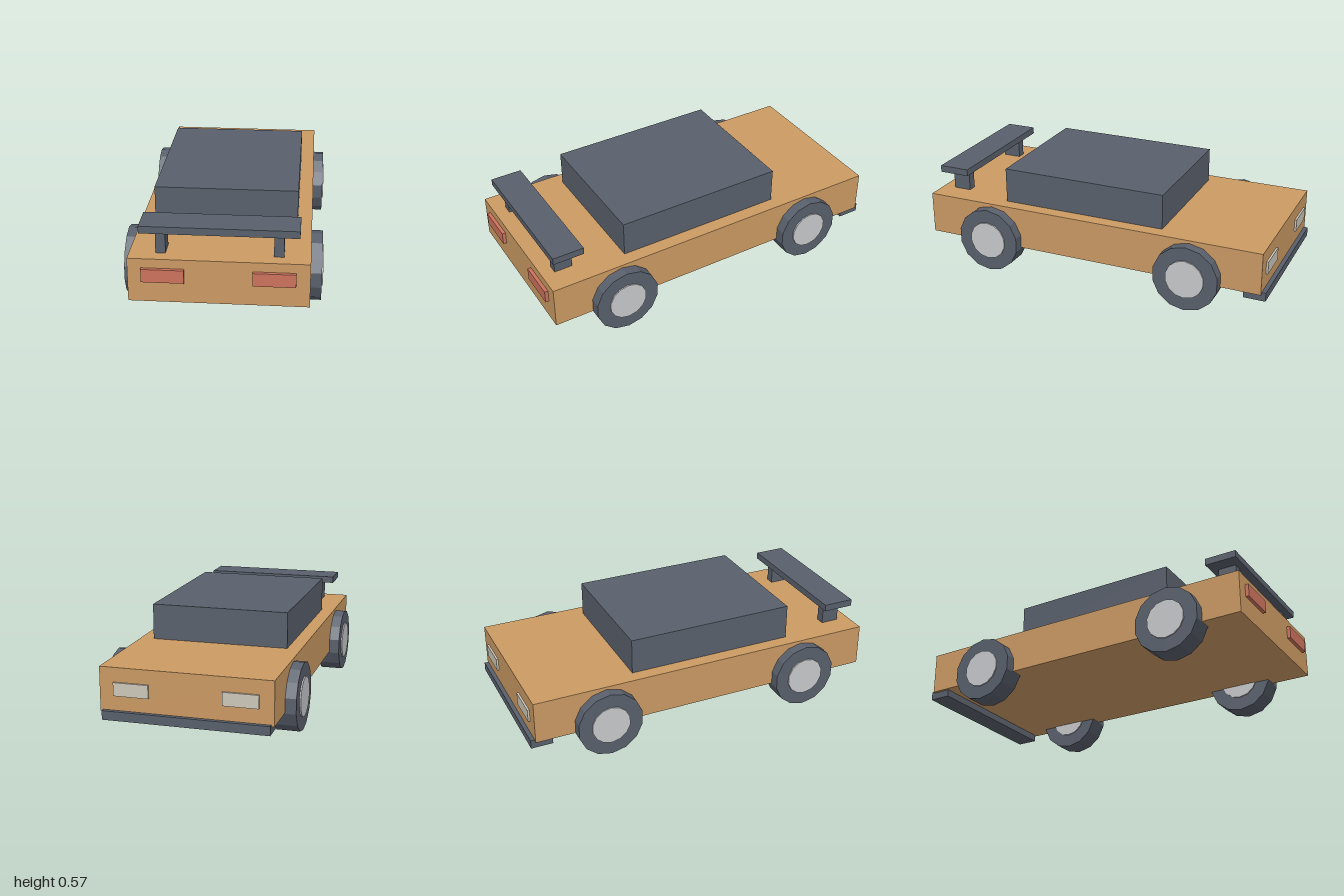
import * as THREE from 'three';

const flat = (name, color) => {
  const m = new THREE.MeshStandardMaterial({ color });
  m.name = name;
  return m;
};

export function createModel() {
  const paint = flat('ochre paint', 0xcb9a63);
  const dark = flat('slate grey', 0x59606c);
  const red = flat('lamp red', 0xcc725c);
  const silver = flat('hub silver', 0xc8c9cc);
  const cream = flat('lamp cream', 0xcdc8ba);

  const car = new THREE.Group();
  car.name = 'car';

  // Box given by its lower and upper limits on each axis
  const box = (name, mat, [x0, x1], [y0, y1], [z0, z1]) => {
    const mesh = new THREE.Mesh(new THREE.BoxGeometry(x1 - x0, y1 - y0, z1 - z0), mat);
    mesh.position.set((x0 + x1) / 2, (y0 + y1) / 2, (z0 + z1) / 2);
    mesh.name = name;
    car.add(mesh);
  };

  // Body, cabin, wing and bumper
  box('body', paint, [-0.45, 0.45], [0.148, 0.381], [-0.977, 0.981]);
  box('cabin', dark, [-0.375, 0.375], [0.381, 0.575], [-0.403, 0.533]);
  box('wing', dark, [-0.395, 0.395], [0.5, 0.538], [0.772, 0.945]);
  box('bumper', dark, [-0.435, 0.435], [0.109, 0.157], [-1, -0.88]);

  // 14-sided drum lying along x, with a corner at the top
  const drum = (radius, width) => {
    const g = new THREE.CylinderGeometry(radius, radius, width, 14, 1, false, Math.PI / 2).toNonIndexed();
    g.rotateZ(Math.PI / 2);
    g.computeVertexNormals();
    return g;
  };
  const tyreGeometry = drum(0.182, 0.123);
  const hubGeometry = drum(0.107, 0.137);

  for (const [side, s] of [['left', 1], ['right', -1]]) {
    const span = (a, b) => (s > 0 ? [a, b] : [-b, -a]);

    // Wing posts and lamps
    box(`${side}WingPost`, dark, span(0.268, 0.318), [0.381, 0.5], [0.81, 0.91]);
    box(`${side}RedLamp`, red, span(0.168, 0.381), [0.262, 0.332], [0.981, 1]);
    box(`${side}CreamLamp`, cream, span(0.19, 0.375), [0.235, 0.305], [-0.988, -0.977]);

    // Wheels
    for (const [end, z] of [['front', 0.59], ['back', -0.582]]) {
      const wheel = new THREE.Group();
      wheel.name = `${end}${side === 'left' ? 'Left' : 'Right'}Wheel`;
      const tyre = new THREE.Mesh(tyreGeometry, dark);
      tyre.name = 'tyre';
      const hub = new THREE.Mesh(hubGeometry, silver);
      hub.name = 'hub';
      wheel.add(tyre, hub);
      wheel.position.set(s * 0.446, 0.184, z);
      car.add(wheel);
    }
  }
  return car;
}
